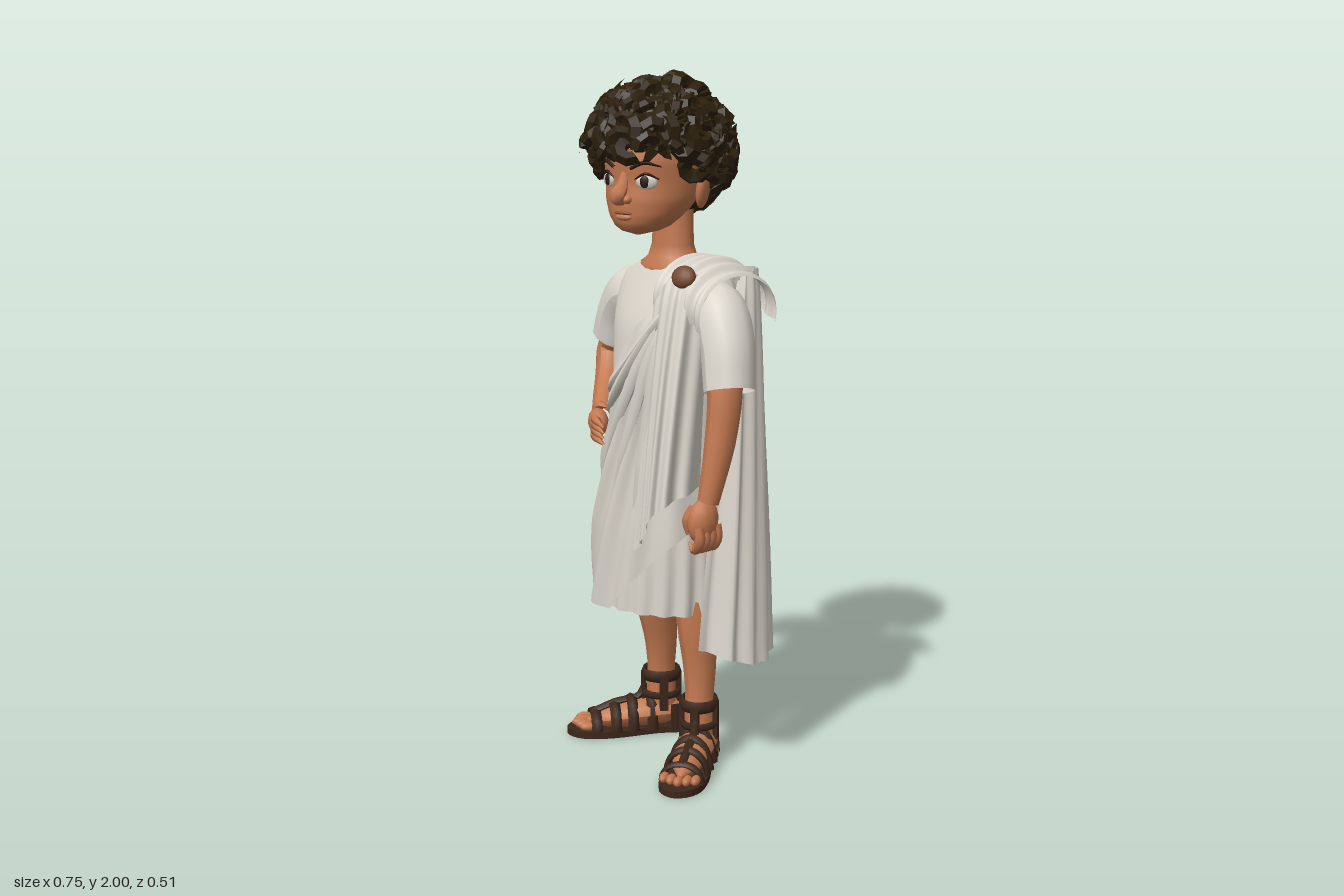
import * as THREE from 'three';
import { mergeGeometries, mergeVertices } from 'three/addons/utils/BufferGeometryUtils.js';

const mat = (name, color, extra = {}) => Object.assign(new THREE.MeshStandardMaterial({ color, ...extra }), { name });
const M = {
  skin: mat('skin', 0xc27850),
  cloth: mat('cloth', 0xdcd6cc, { side: THREE.DoubleSide }),
  hair: mat('hair', 0x2b1f0b, { flatShading: true }),
  leather: mat('leather', 0x3d271b, { side: THREE.DoubleSide }),
  brooch: mat('brooch', 0x74482f),
  eye: mat('eyeWhite', 0xd0cac2),
  dark: mat('darkBrown', 0x2a1a12),
  lip: mat('lip', 0x8f5238),
};
const V = (p) => new THREE.Vector3(...p);
const curve = (pts) => new THREE.CatmullRomCurve3(pts.map(V));
const clamp = THREE.MathUtils.clamp, lerp = THREE.MathUtils.lerp;

function add(parent, name, geo, material, pos = [0, 0, 0], scale = [1, 1, 1], rot = [0, 0, 0]) {
  const m = new THREE.Mesh(geo, material);
  m.name = name;
  m.position.set(...pos); m.scale.set(...scale); m.rotation.set(...rot);
  parent.add(m);
}
// Surface grid from fn(u, v) -> [x, y, z]
function sheet(nu, nv, fn) {
  const pos = [], idx = [];
  for (let j = 0; j <= nv; j++) for (let i = 0; i <= nu; i++) pos.push(...fn(i / nu, j / nv));
  for (let j = 0; j < nv; j++) for (let i = 0; i < nu; i++) {
    const a = j * (nu + 1) + i, d = a + nu + 1;
    idx.push(a, a + 1, d + 1, a, d + 1, d);
  }
  const g = new THREE.BufferGeometry();
  g.setAttribute('position', new THREE.Float32BufferAttribute(pos, 3));
  g.setIndex(idx);
  const w = mergeVertices(g, 1e-5);
  w.computeVertexNormals();
  return w;
}
// Interpolate a table of rows by its first column
function rowAt(rows, y) {
  let i = 0;
  while (i < rows.length - 2 && y > rows[i + 1][0]) i++;
  const t = clamp((y - rows[i][0]) / (rows[i + 1][0] - rows[i][0]), 0, 1);
  return rows[i].map((a, k) => lerp(a, rows[i + 1][k], t));
}
// Tube whose radius changes along its path
function taper(pts, radii, sides = 10) {
  const seg = pts.length * 4, c = curve(pts), g = new THREE.TubeGeometry(c, seg, 1, sides);
  const p = g.attributes.position, v = new THREE.Vector3();
  for (let i = 0; i <= seg; i++) {
    const o = c.getPointAt(i / seg), f = (i / seg) * (radii.length - 1), k = Math.min(Math.floor(f), radii.length - 2);
    const r = lerp(radii[k], radii[k + 1], f - k);
    for (let j = 0; j <= sides; j++) {
      const n = i * (sides + 1) + j;
      v.fromBufferAttribute(p, n).sub(o).multiplyScalar(r).add(o);
      p.setXYZ(n, v.x, v.y, v.z);
    }
  }
  g.computeVertexNormals();
  return g;
}
// Cloth hanging between two edges, rippled away from an axis at (ax, az)
function hang(top, bottom, ax, az, folds, amp, ease) {
  const a = curve(top), b = curve(bottom);
  return sheet(56, 18, (u, v) => {
    const p = a.getPoint(u), q = b.getPoint(u), e = Math.pow(v, ease);
    const x = lerp(p.x, q.x, e), z = lerp(p.z, q.z, e), d = Math.hypot(x - ax, z - az) || 1;
    const r = amp * (0.35 + 0.65 * v) * Math.sin(u * folds * Math.PI * 2 + v * 2);
    return [x + r * (x - ax) / d, lerp(p.y, q.y, v), z + r * (z - az) / d];
  });
}

// Tunic sections: y, centre x, centre z, half width, half depth
const BODY = [[0.46, -0.025, 0, 0.212, 0.165], [0.7, -0.012, 0, 0.203, 0.16], [0.9, 0.005, 0, 0.182, 0.15],
  [1.0, 0.015, 0, 0.168, 0.14], [1.15, 0.01, 0, 0.172, 0.138], [1.3, 0.01, -0.015, 0.19, 0.135],
  [1.38, 0.015, -0.03, 0.205, 0.118], [1.43, 0.02, -0.03, 0.19, 0.095], [1.455, 0.02, -0.03, 0.15, 0.085], [1.465, 0.01, -0.025, 0.11, 0.075]];
function body(y, th, off) {
  const [, cx, cz, rx, rz] = rowAt(BODY, y);
  return [cx + (rx + off) * Math.sin(th), y, cz + (rz + off) * Math.cos(th)];
}
function onBody(x, y, side, off) {
  const [, cx, cz, rx, rz] = rowAt(BODY, y), s = clamp((x - cx) / rx, -0.98, 0.98);
  return [x, y, cz + side * (rz * Math.sqrt(1 - s * s) + off)];
}

function clothing(g) {
  add(g, 'tunic', sheet(108, 28, (u, v) => {
    const y = lerp(0.46, 1.465, v), th = u * Math.PI * 2;
    return body(y, th, 0.008 * clamp((0.95 - y) * 2, 0, 1) * Math.sin(th * 18));
  }), M.cloth);
  // Wrap from the right hip to the left shoulder, folds radiating from the shoulder
  add(g, 'wrap', sheet(108, 40, (u, v) => {
    const th = u * Math.PI * 2 - Math.PI, s = Math.sin(th);
    const hi = lerp(1.04, 1.44, clamp((s + 0.8) / 1.4, 0, 1));
    const lo = 0.455 + clamp(Math.cos(th) * 3 + 0.5, 0, 1) * Math.max(0, (s + 0.1) / 1.1) * 0.28;
    const y = lerp(lo, hi, v), ray = Math.atan2(y - 1.6, s * 0.22 - 0.17);
    return body(y, th, 0.016 + 0.009 * Math.sin(ray * 55) * clamp((1 - v) * 4, 0.2, 1));
  }), M.cloth);
  // Raised folds in front
  [[-0.14, 1.06], [-0.15, 0.98], [-0.12, 0.86], [-0.04, 0.78], [0.05, 0.72]].forEach(([ex, ey], i) => {
    const pts = [0, 0.25, 0.5, 0.75, 1].map((t) =>
      onBody(lerp(0.17 - i * 0.012, ex, t), lerp(1.42, ey, t) - 0.04 * Math.sin(t * Math.PI), 1, 0.016));
    add(g, 'frontFold', taper(pts, [0.02, 0.02, 0.018, 0.016, 0.003], 6), M.cloth);
  });
  // Sagging folds behind, from the left shoulder round to the right hip
  for (let i = 0; i < 6; i++) {
    const pts = [0, 0.2, 0.4, 0.6, 0.8, 1].map((t) =>
      onBody(lerp(0.1, -0.15, t), lerp(1.38 - i * 0.05, 1.07 - i * 0.022, t) - (0.06 + i * 0.045) * Math.sin(t * Math.PI), -1, 0.014));
    add(g, 'backFold', taper(pts, [0.012, 0.02, 0.022, 0.022, 0.018, 0.005], 6), M.cloth);
  }
  add(g, 'frontDrape', hang(
    [[0.08, 1.40, 0.1], [0.12, 1.43, 0.1], [0.16, 1.45, 0.09], [0.2, 1.46, 0.07], [0.23, 1.44, 0.03]],
    [[0.07, 0.66, 0.17], [0.15, 0.72, 0.215], [0.215, 0.8, 0.24], [0.255, 0.84, 0.2], [0.235, 0.86, 0.07]],
    0.05, 0, 4.5, 0.014, 0.68), M.cloth);
  add(g, 'cape', hang(
    [[0.23, 1.43, -0.07], [0.25, 1.45, -0.08], [0.25, 1.46, -0.12], [0.2, 1.46, -0.16], [0.13, 1.45, -0.16], [0.07, 1.42, -0.14]],
    [[0.21, 0.37, 0.06], [0.31, 0.34, -0.01], [0.285, 0.31, -0.13], [0.2, 0.32, -0.238], [0.1, 0.41, -0.225], [0.01, 0.47, -0.195]],
    0.08, -0.02, 7, 0.013, 0.68), M.cloth);
  // Cloth gathered over the left shoulder, front to back
  add(g, 'shoulderDrape', sheet(40, 18, (u, v) => {
    const a = lerp(-0.1, 1.08, v) * Math.PI, fold = 0.007 * Math.sin(u * Math.PI * 9);
    const drop = Math.max(0, u - 0.55) * 0.09;
    return [lerp(0.085, 0.275, u) - 0.01 * Math.cos(a), 1.38 - drop + (0.112 + fold) * Math.sin(a), -0.03 + (0.14 + fold) * Math.cos(a)];
  }), M.cloth);
  add(g, 'brooch', new THREE.SphereGeometry(0.037, 14, 10), M.brooch, [0.178, 1.45, 0.088], [1, 0.9, 0.55], [-0.5, 0.3, 0]);
  add(g, 'rightSleeve', taper([[-0.09, 1.375, -0.04], [-0.18, 1.35, -0.05], [-0.24, 1.29, -0.06], [-0.275, 1.21, -0.065]], [0.07, 0.085, 0.082, 0.08], 14), M.cloth);
  add(g, 'leftSleeve', taper([[0.13, 1.37, -0.02], [0.21, 1.35, -0.01], [0.27, 1.27, 0.01], [0.308, 1.14, 0.035]], [0.07, 0.083, 0.077, 0.072], 14), M.cloth);
}

function arms(g) {
  add(g, 'leftArm', taper([[0.22, 1.34, 0], [0.29, 1.15, 0.035], [0.298, 1.0, 0.06], [0.293, 0.83, 0.1]], [0.05, 0.052, 0.045, 0.031], 12), M.skin);
  add(g, 'leftHand', new THREE.SphereGeometry(1, 14, 10), M.skin, [0.288, 0.78, 0.115], [0.037, 0.066, 0.048], [-0.15, 0, 0]);
  add(g, 'rightUpperArm', taper([[-0.2, 1.34, -0.06], [-0.28, 1.22, -0.075], [-0.33, 1.165, -0.085], [-0.3, 1.1, -0.05],
    [-0.24, 1.04, 0.02], [-0.185, 1.0, 0.085]], [0.05, 0.052, 0.046, 0.044, 0.038, 0.028], 12), M.skin);
  add(g, 'rightHand', new THREE.SphereGeometry(1, 14, 10), M.skin, [-0.16, 0.99, 0.115], [0.048, 0.038, 0.03], [0, -0.5, -0.3]);
  for (let i = 0; i < 4; i++) {
    const z = 0.146 - i * 0.022, y = 1.005 - i * 0.017;
    add(g, 'leftFinger', taper([[0.304, 0.77, z], [0.308, 0.73, z], [0.288, 0.7, z], [0.265, 0.72, z]], [0.016, 0.016, 0.014, 0.003], 6), M.skin);
    add(g, 'rightFinger', taper([[-0.16, y, 0.13], [-0.12, y - 0.004, 0.152], [-0.085, y - 0.015, 0.158]], [0.014, 0.013, 0.003], 6), M.skin);
  }
  add(g, 'leftThumb', taper([[0.27, 0.82, 0.13], [0.257, 0.78, 0.148], [0.26, 0.74, 0.148]], [0.016, 0.014, 0.003], 6), M.skin);
  add(g, 'rightThumb', taper([[-0.19, 1.01, 0.1], [-0.17, 1.035, 0.1], [-0.14, 1.035, 0.1]], [0.014, 0.014, 0.003], 6), M.skin);
}

function leg(g, side, hip, ankle, yaw) {
  const [ax, az] = ankle, [hx, hz] = hip;
  add(g, side + 'Leg', taper([[hx * 0.65, 0.7, hz], [hx, 0.46, hz], [lerp(hx, ax, 0.6), 0.3, lerp(hz, az, 0.6) - 0.008], [ax, 0.15, az], [ax, 0.05, az]],
    [0.07, 0.062, 0.057, 0.043, 0.046], 12), M.skin);
  const f = new THREE.Group();
  f.name = side + 'Foot';
  f.position.set(ax, 0, az);
  f.rotation.y = yaw;
  f.scale.set(1.1, 1, 1.18);
  g.add(f);
  const outline = [[0, -0.072], [0.042, -0.05], [0.043, 0.02], [0.06, 0.13], [0.05, 0.21], [0, 0.247], [-0.05, 0.215], [-0.06, 0.13], [-0.043, 0.02], [-0.042, -0.05], [0, -0.072]];
  const shape = new THREE.Shape(new THREE.SplineCurve(outline.map((p) => new THREE.Vector2(...p))).getPoints(40));
  add(f, 'sole', new THREE.ExtrudeGeometry(shape, { depth: 0.02, bevelEnabled: false }).rotateX(Math.PI / 2), M.leather, [0, 0.02, 0]);
  add(f, 'foot', taper([[0, 0.05, -0.062], [0, 0.062, -0.02], [0, 0.06, 0.05], [0, 0.05, 0.12], [0, 0.042, 0.18], [0, 0.038, 0.2]],
    [0.02, 0.043, 0.045, 0.04, 0.03, 0.003], 12), M.skin, [0, 0, 0], [1.15, 1, 1]);
  for (let i = -2; i <= 2; i++) add(f, 'toe', new THREE.SphereGeometry(0.015, 8, 6), M.skin, [i * 0.021, 0.035, 0.212 - Math.abs(i) * 0.008], [0.85, 0.9, 1.6]);
  // Sandal straps
  [[0.03, 0.114, 0.052], [0.08, 0.104, 0.054], [0.125, 0.09, 0.056], [0.175, 0.07, 0.055]].forEach(([z, h, w]) =>
    add(f, 'footStrap', new THREE.TorusGeometry(0.05, 0.007, 5, 14, Math.PI), M.leather, [0, 0.015, z], [w / 0.05, (h - 0.015) / 0.05, 2.1]));
  add(f, 'topStrap', taper([[0, 0.14, 0.045], [0, 0.108, 0.06], [0, 0.092, 0.12], [0, 0.065, 0.18]], [0.009, 0.012, 0.012, 0.011], 6), M.leather);
  add(f, 'heelCup', new THREE.CylinderGeometry(0.047, 0.052, 0.075, 12, 1, true, Math.PI / 2, Math.PI), M.leather, [0, 0.055, -0.018]);
  [[0.182, 0.045, 2.4], [0.122, 0.046, 1.5]].forEach(([y, r, k]) =>
    add(f, 'ankleStrap', new THREE.TorusGeometry(r, 0.008, 5, 16), M.leather, [0, y, 0], [1, 1, k], [Math.PI / 2, 0, 0]));
  for (let i = 0; i < 4; i++) {
    const a = i * Math.PI / 2;
    add(f, 'uprightStrap', new THREE.BoxGeometry(0.022, 0.11, 0.012), M.leather, [Math.sin(a) * 0.046, 0.13, Math.cos(a) * 0.046], [1, 1, 1], [0, a, 0]);
  }
}

function head(g) {
  add(g, 'neck', new THREE.LatheGeometry([[0.1, 1.43], [0.104, 1.462], [0.078, 1.485], [0.066, 1.52], [0.064, 1.62]].map((p) => new THREE.Vector2(...p)), 20), M.skin,
    [0.01, 0, -0.025], [1.02, 1, 0.8]);
  const h = new THREE.Group();
  h.name = 'head';
  h.position.x = -0.03;
  h.rotation.y = 0.17;
  g.add(h);
  // Face sections: y, half width, front z, back z, middle z
  const rows = [[1.55, 0.002, 0.01, 0.01, 0.08], [1.556, 0.04, 0.045, 0.04, 0.078], [1.575, 0.078, 0.085, 0.07, 0.06], [1.605, 0.107, 0.115, 0.1, 0.04],
    [1.65, 0.131, 0.142, 0.12, 0.015], [1.7, 0.14, 0.15, 0.15, 0], [1.76, 0.145, 0.157, 0.17, 0], [1.83, 0.138, 0.145, 0.17, 0], [1.9, 0.1, 0.1, 0.13, 0], [1.94, 0.002, 0.002, 0.002, 0]];
  add(h, 'face', sheet(32, 30, (u, v) => {
    const [y, w, f, b, m] = rowAt(rows, lerp(1.55, 1.94, v)), t = u * Math.PI * 2, c = Math.cos(t);
    return [w * Math.sin(t), y, m + c * (c > 0 ? f : b)];
  }), M.skin);
  add(h, 'nose', taper([[0, 1.73, 0.143], [0, 1.69, 0.157], [0, 1.664, 0.18], [0, 1.645, 0.15]], [0.011, 0.017, 0.024, 0.008], 8), M.skin);
  const ball = new THREE.SphereGeometry(1, 14, 10);
  add(h, 'mouth', ball, M.lip, [0, 1.617, 0.154], [0.032, 0.005, 0.008]);
  add(h, 'lowerLip', ball, M.skin, [0, 1.605, 0.15], [0.028, 0.01, 0.012]);
  for (const s of [-1, 1]) {
    add(h, 'eye', ball, M.eye, [s * 0.067, 1.705, 0.131], [0.031, 0.021, 0.01], [0, s * 0.42, 0]);
    add(h, 'iris', ball, M.dark, [s * 0.066, 1.706, 0.139], [0.014, 0.017, 0.005], [0, s * 0.42, 0]);
    add(h, 'upperLid', taper([[s * 0.036, 1.712, 0.145], [s * 0.068, 1.728, 0.137], [s * 0.099, 1.713, 0.115]], [0.002, 0.005, 0.002], 6), M.dark);
    add(h, 'eyebrow', taper([[s * 0.028, 1.742, 0.155], [s * 0.065, 1.758, 0.142], [s * 0.105, 1.748, 0.113]], [0.005, 0.006, 0.002], 6), M.dark);
    add(h, 'nostril', ball, M.skin, [s * 0.019, 1.655, 0.158], [0.013, 0.012, 0.015]);
    add(h, 'ear', ball, M.skin, [s * 0.15, 1.68, -0.018], [0.018, 0.056, 0.036], [0.15, s * 0.35, -s * 0.2]);
  }
  add(h, 'hairCap', new THREE.SphereGeometry(1, 20, 14), M.hair, [0, 1.855, -0.025], [0.18, 0.11, 0.19]);
  add(h, 'hairBack', new THREE.SphereGeometry(1, 20, 14), M.hair, [0, 1.75, -0.1], [0.17, 0.155, 0.115]);
  // Curls spread over an ellipsoid, leaving the face and ears free
  let seed = 7;
  const rnd = () => (seed = (seed * 16807) % 2147483647) / 2147483647;
  const curls = [], N = 400, up = new THREE.Vector3(0, 0, 1), tilt = new THREE.Quaternion(), q = new THREE.Quaternion();
  for (let i = 0; i < N; i++) {
    const ny = 1 - 2 * (i + 0.5) / N, r = Math.sqrt(1 - ny * ny), a = i * 2.39996;
    const n = new THREE.Vector3(r * Math.sin(a), ny, r * Math.cos(a));
    const k = 0.9 + rnd() * 0.1, p = [n.x * 0.192 * k, 1.785 + n.y * 0.183 * k, -0.015 + n.z * 0.21 * k];
    tilt.setFromEuler(new THREE.Euler((rnd() - 0.5) * 1.6, (rnd() - 0.5) * 1.6, rnd() * 6.28));
    const size = 0.8 + rnd() * 0.4;
    const temple = p[1] > 1.735 && p[2] < 0.06;
    if (p[1] < 1.61 || (p[1] < 1.79 && p[2] > -0.05 && !temple)) continue;
    q.setFromUnitVectors(up, n).multiply(tilt);
    const c = new THREE.TorusGeometry(0.025, 0.018, 5, 7, 5.2);
    c.applyMatrix4(new THREE.Matrix4().compose(V(p), q, new THREE.Vector3(size * 1.15, size, size * 1.1)));
    curls.push(c);
  }
  add(h, 'curls', mergeGeometries(curls), M.hair);
}

export function createModel() {
  const g = new THREE.Group();
  g.name = 'figure';
  clothing(g);
  arms(g);
  leg(g, 'right', [-0.095, -0.05], [-0.11, -0.088], -0.57);
  leg(g, 'left', [0.135, 0], [0.157, 0.003], 0.58);
  head(g);
  return g;
}
